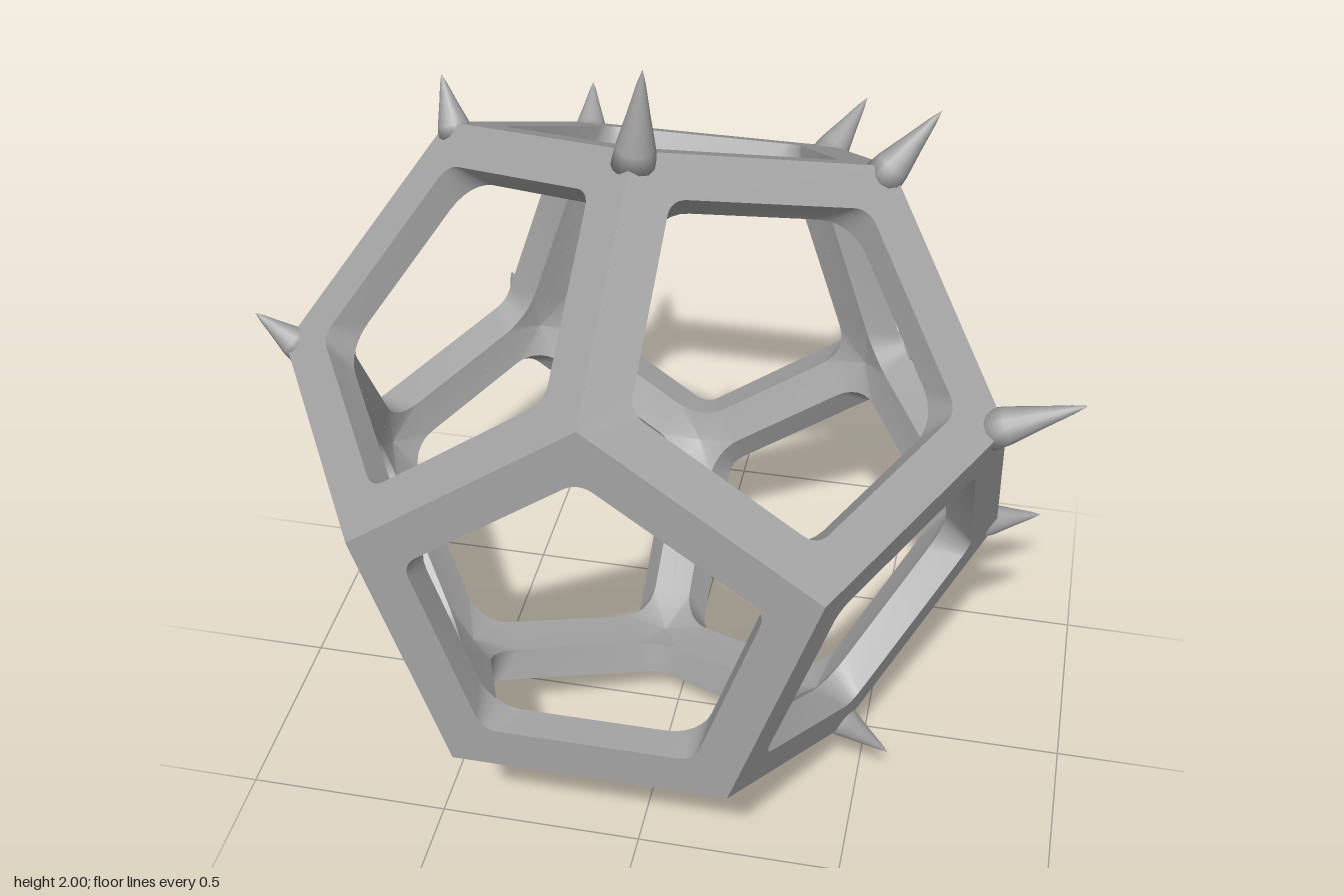
import * as THREE from 'three';
import { mergeGeometries, toCreasedNormals } from 'three/addons/utils/BufferGeometryUtils.js';

const INRADIUS = 0.7;                 // centre to face plane
const FACE_R = INRADIUS * 0.7639;     // face centre to corner
const HOLE = 0.33;                    // inradius of the pentagonal opening
const DEPTH = 0.078;                  // depth of the opening's walls
const CENTRE = new THREE.Vector3(-0.045, 0.94, 0.09);
const DEG = Math.PI / 180;
const ARC = 6;

// Five rounded corners of the opening, each an arc of points, counter-clockwise
function openingCorners(fillet, z) {
  return [0, 1, 2, 3, 4].map((k) => {
    const a = (90 + 72 * k) * DEG;
    const d = (HOLE - fillet) / Math.cos(36 * DEG);
    return Array.from({ length: ARC + 1 }, (_, i) => {
      const t = a + (-36 + (72 * i) / ARC) * DEG;
      return new THREE.Vector3(d * Math.cos(a) + fillet * Math.cos(t), d * Math.sin(a) + fillet * Math.sin(t), z);
    });
  });
}

// One face of the frame: outer band, opening walls and its half of the inner struts
function faceGeometry() {
  const pos = [];
  const tri = (...pts) => pts.forEach((p) => pos.push(p.x, p.y, p.z));
  const quad = (a, b, c, d) => { tri(a, b, c); tri(a, c, d); };
  const corner = [0, 1, 2, 3, 4].map((k) => {
    const a = (90 + 72 * k) * DEG;
    return new THREE.Vector3(FACE_R * Math.cos(a), FACE_R * Math.sin(a), INRADIUS);
  });
  const outer = openingCorners(0.05, INRADIUS);
  const inner = openingCorners(0.11, INRADIUS - DEPTH);
  // drop a point on the symmetry plane through the edge that starts at corner k
  const onEdgePlane = (p, k) => {
    const n = corner[k].clone().cross(corner[(k + 1) % 5]).normalize();
    return p.clone().addScaledVector(n, -p.dot(n));
  };
  for (let k = 0; k < 5; k++) {
    const next = (k + 1) % 5, prev = (k + 4) % 5;
    const a = outer[k], b = inner[k], hub = corner[k].clone().multiplyScalar(0.858);
    const seq = [onEdgePlane(b[0], prev), ...b, onEdgePlane(b[ARC], k)];
    for (let i = 0; i < ARC; i++) {
      tri(a[i + 1], a[i], corner[k]);
      quad(a[i], a[i + 1], b[i + 1], b[i]);
    }
    for (let i = 0; i < seq.length - 1; i++) tri(seq[i], seq[i + 1], hub);
    quad(corner[k], corner[next], outer[next][0], a[ARC]);
    quad(a[ARC], outer[next][0], inner[next][0], b[ARC]);
    quad(b[ARC], inner[next][0], onEdgePlane(inner[next][0], k), onEdgePlane(b[ARC], k));
  }
  const geo = new THREE.BufferGeometry();
  geo.setAttribute('position', new THREE.Float32BufferAttribute(pos, 3));
  return geo;
}

// Twelve copies of the face make the dodecahedral frame
function frameGeometry() {
  const face = faceGeometry();
  const tilt = Math.acos(1 / Math.sqrt(5));
  const faces = [];
  for (const flip of [0, Math.PI]) {
    const half = new THREE.Matrix4().makeRotationX(flip);
    faces.push(face.clone().applyMatrix4(half));
    for (let k = 0; k < 5; k++) {
      const m = half.clone()
        .multiply(new THREE.Matrix4().makeRotationZ((36 + 72 * k) * DEG))
        .multiply(new THREE.Matrix4().makeRotationX(-tilt));
      faces.push(face.clone().applyMatrix4(m));
    }
  }
  return toCreasedNormals(mergeGeometries(faces), 0.5);
}

// Spike tips: [angle of the corner, tip x, y, z] for each ring of corners
const RINGS = [
  { radius: FACE_R * 1.618, z: 0.165, spikes: [
    [90, -0.02, 2.0, 0.265], [18, 0.945, 1.285, 0.24], [-54, 0.578, 0.172, 0.25],
    [-126, -0.603, 0.16, 0.25], [162, -0.94, 1.272, 0.24]] },
  { radius: FACE_R * 1.618, z: -0.165, spikes: [
    [54, 0.56, 1.765, -0.12], [126, -0.573, 1.735, -0.12], [198, -0.945, 0.665, -0.13],
    [342, 0.88, 0.68, -0.125], [270, -0.015, 0.0, -0.125]] },
  { radius: FACE_R, z: -INRADIUS, spikes: [
    [54, 0.335, 1.455, -0.725], [126, -0.365, 1.435, -0.705], [198, -0.635, 0.775, -0.785],
    [342, 0.605, 0.78, -0.79], [270, -0.025, 0.375, -0.72]] },
];

// Slightly concave spike from base to tip
function spike(base, tip, radius, material) {
  const axis = tip.clone().sub(base);
  const h = axis.length();
  const profile = [[0, 0], [radius, 0], [radius * 0.88, h * 0.2], [radius * 0.5, h * 0.55], [radius * 0.2, h * 0.85], [0, h]];
  const mesh = new THREE.Mesh(new THREE.LatheGeometry(profile.map(([x, y]) => new THREE.Vector2(x, y)), 14), material);
  mesh.name = 'spike';
  mesh.position.copy(base);
  mesh.quaternion.setFromUnitVectors(new THREE.Vector3(0, 1, 0), axis.normalize());
  return mesh;
}

export function createModel() {
  const grey = new THREE.MeshStandardMaterial({ color: 0xa3a3a3 });
  grey.name = 'grey';
  const model = new THREE.Group();
  model.name = 'spikedDodecahedron';

  const frame = new THREE.Mesh(frameGeometry(), grey);
  frame.name = 'frame';
  frame.position.copy(CENTRE);
  model.add(frame);

  // Spikes on every corner except those of the flat front face
  const spikes = new THREE.Group();
  spikes.name = 'spikes';
  for (const { radius, z, spikes: list } of RINGS) {
    for (const [angle, x, y, tz] of list) {
      const base = new THREE.Vector3(radius * Math.cos(angle * DEG), radius * Math.sin(angle * DEG), z)
        .multiplyScalar(0.955).add(CENTRE);
      const tip = new THREE.Vector3(x, y, tz);
      const thickness = Math.min(0.05, 0.03 + base.distanceTo(tip) * 0.08);
      spikes.add(spike(base, tip, thickness, grey));
    }
  }
  model.add(spikes);
  return model;
}
